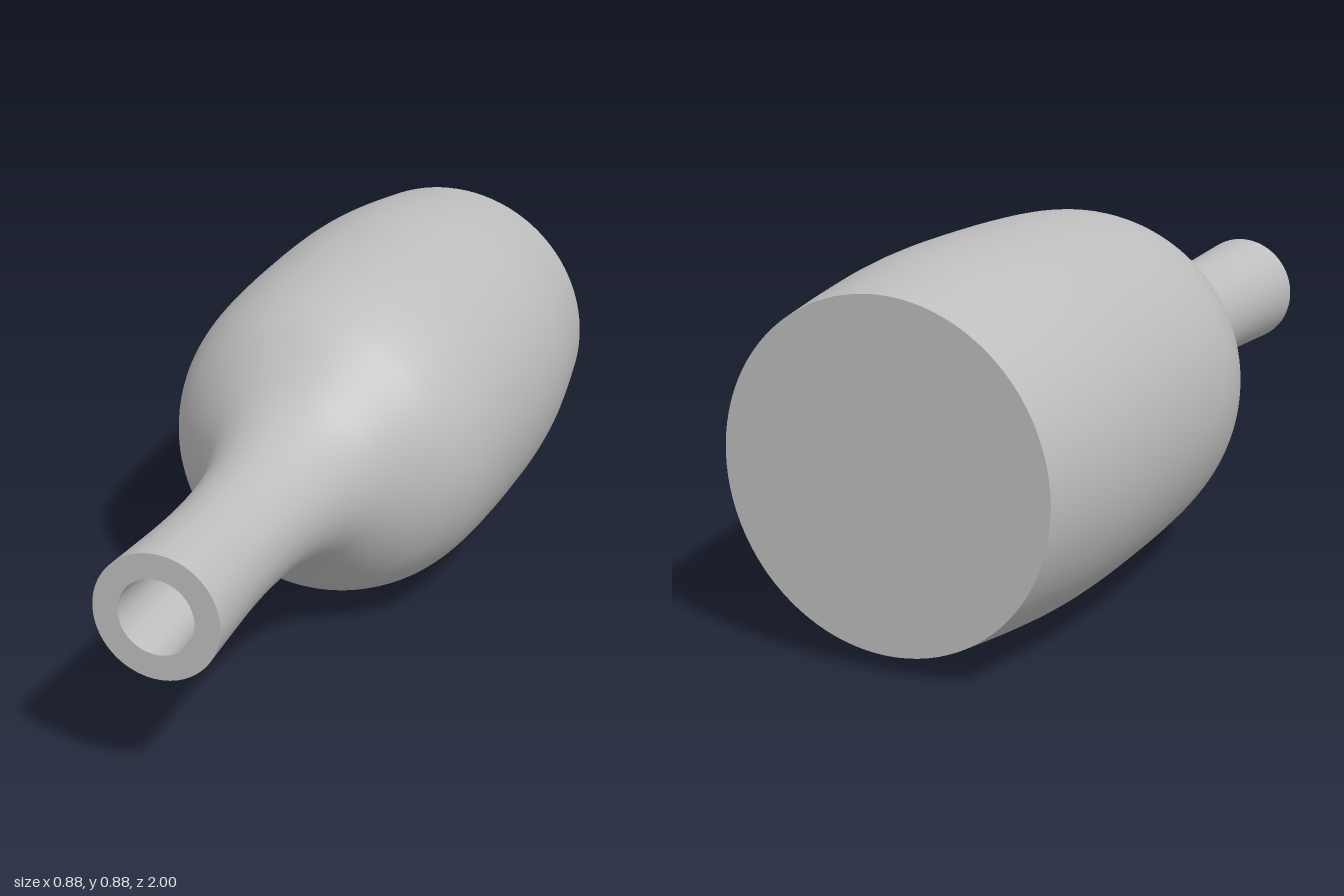
import * as THREE from 'three';

const SEGMENTS = 96;
const AXIS_HEIGHT = 0.439; // height of the bottle's axis above the ground
const WALL = 0.059;
const BASE = -1, MOUTH = 1;

export function createModel() {
  const bottle = new THREE.Group();
  bottle.name = 'bottle';
  const grey = new THREE.MeshStandardMaterial({ color: 0xbebebe });
  grey.name = 'plain grey';

  // Outer silhouette: radius against position along the axis, base to mouth
  const silhouette = new THREE.SplineCurve([
    [0.397, -1], [0.418, -0.85], [0.433, -0.71], [0.439, -0.56], [0.436, -0.35],
    [0.428, -0.18], [0.416, -0.07], [0.396, 0.01], [0.36, 0.09], [0.313, 0.15],
    [0.262, 0.205], [0.217, 0.26], [0.184, 0.33], [0.159, 0.42], [0.145, 0.52],
    [0.138, 0.64], [0.138, 0.76], [0.143, 0.89], [0.148, 1],
  ].map(([r, z]) => new THREE.Vector2(r, z)));
  const outer = silhouette.getSpacedPoints(90);

  // Cavity: the silhouette moved inwards by the wall thickness
  const floorZ = BASE + WALL;
  const inner = outer.map((p, i) => {
    const t = silhouette.getTangentAt(i / 90);
    return new THREE.Vector2(p.x - t.y * WALL, p.y + t.x * WALL);
  }).filter((p) => p.y > floorZ + 0.005 && p.y < MOUTH - 0.005);
  inner.unshift(new THREE.Vector2(inner[0].x, floorZ));
  inner.push(new THREE.Vector2(0.089, MOUTH));
  inner.reverse();

  // Each surface is its own lathe, so the edges between them stay sharp
  const addLathe = (name, points) => {
    const geometry = new THREE.LatheGeometry(points, SEGMENTS);
    geometry.rotateX(Math.PI / 2); // mouth faces the front
    const mesh = new THREE.Mesh(geometry, grey);
    mesh.name = name;
    mesh.position.y = AXIS_HEIGHT;
    bottle.add(mesh);
  };

  addLathe('base', [new THREE.Vector2(0, BASE), outer[0]]);
  addLathe('outerWall', outer);
  addLathe('mouthRim', [outer[outer.length - 1], inner[0]]);
  addLathe('innerWall', inner);
  addLathe('innerFloor', [inner[inner.length - 1], new THREE.Vector2(0, floorZ)]);

  return bottle;
}
